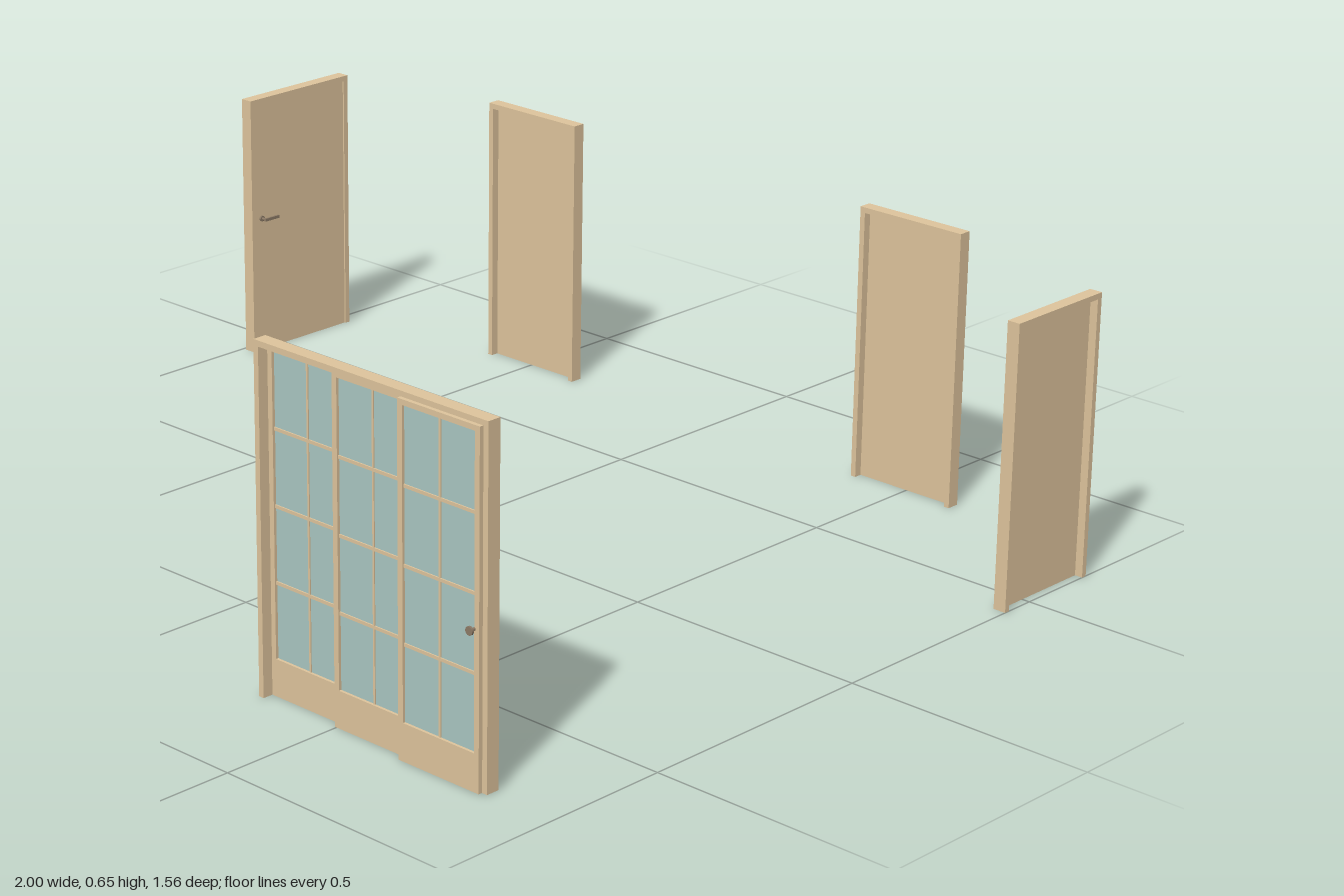
import * as THREE from 'three';

const wood = new THREE.MeshStandardMaterial({ color: 0xdec49c });
const glassMat = new THREE.MeshStandardMaterial({ color: 0xa9c6c1 });
const handleMat = new THREE.MeshStandardMaterial({ color: 0x8c7a66 });

// Box given by its low and high corners
function box(parent, name, [x0, y0, z0], [x1, y1, z1], mat = wood) {
  const mesh = new THREE.Mesh(new THREE.BoxGeometry(x1 - x0, y1 - y0, z1 - z0), mat);
  mesh.position.set((x0 + x1) / 2, (y0 + y1) / 2, (z0 + z1) / 2);
  mesh.name = name;
  parent.add(mesh);
  return mesh;
}

// Cylinder lying along z
function rod(parent, name, r, x, y, z0, z1) {
  const mesh = new THREE.Mesh(new THREE.CylinderGeometry(r, r, z1 - z0, 16).rotateX(Math.PI / 2), handleMat);
  mesh.position.set(x, y, (z0 + z1) / 2);
  mesh.name = name;
  parent.add(mesh);
}

// Two posts and a head, open at the floor
function frame(parent, w, h, d, t) {
  for (const s of [-1, 1]) {
    const a = s * w / 2, b = s * (w / 2 - t);
    box(parent, 'framePost', [Math.min(a, b), 0, -d / 2], [Math.max(a, b), h, d / 2]);
  }
  box(parent, 'frameHead', [-w / 2 + t, h - t, -d / 2], [w / 2 - t, h, d / 2]);
}

// Framed slab door, its recessed side facing local +z
function slabDoor(name, w, slabBack, slabFront) {
  const door = new THREE.Group();
  door.name = name;
  const h = 0.55, t = 0.011;
  frame(door, w, h, 0.026, t);
  box(door, 'doorSlab', [-w / 2 + t, 0, slabBack], [w / 2 - t, h - t, slabFront]);
  return door;
}

// One sliding leaf: stiles, rails, glass and glazing bars
function slidingLeaf(x0, x1, z0, z1) {
  const leaf = new THREE.Group();
  leaf.name = 'slidingLeaf';
  const s = 0.011, bottom = 0.07, top = 0.63, zm = (z0 + z1) / 2;
  box(leaf, 'leftStile', [x0, 0, z0], [x0 + s, 0.64, z1]);
  box(leaf, 'rightStile', [x1 - s, 0, z0], [x1, 0.64, z1]);
  box(leaf, 'bottomRail', [x0 + s, 0, z0], [x1 - s, bottom, z1]);
  box(leaf, 'topRail', [x0 + s, top, z0], [x1 - s, 0.64, z1]);
  box(leaf, 'glass', [x0 + s, bottom, zm - 0.0015], [x1 - s, top, zm + 0.0015], glassMat);
  for (let i = 1; i < 4; i++) {
    const y = bottom + i * (top - bottom) / 4;
    box(leaf, 'glazingBar', [x0 + s, y - 0.003, zm - 0.004], [x1 - s, y + 0.003, zm + 0.004]);
  }
  const xm = (x0 + x1) / 2;
  box(leaf, 'uprightBar', [xm - 0.002, bottom, zm - 0.0035], [xm + 0.002, top, zm + 0.0035]);
  return leaf;
}

export function createModel() {
  const model = new THREE.Group();
  model.name = 'doorSet';

  // Pair of back doors
  for (const [name, x] of [['backRightDoor', -0.491], ['backLeftDoor', 0.495]]) {
    const door = slabDoor(name, 0.241, -0.013, -0.003);
    door.position.set(x, 0, -0.766);
    model.add(door);
  }

  // Side door on the left
  const leftDoor = slabDoor('leftSideDoor', 0.24, -0.013, -0.003);
  leftDoor.rotation.y = Math.PI / 2;
  leftDoor.position.set(0.987, 0, -0.549);
  model.add(leftDoor);

  // Wider side door on the right, with a lever handle
  const rightDoor = slabDoor('rightSideDoor', 0.277, -0.01, 0.006);
  rightDoor.rotation.y = -Math.PI / 2;
  rightDoor.position.set(-0.979, 0, -0.55);
  const hx = 0.11, hy = 0.29;
  rod(rightDoor, 'handleSpindle', 0.003, hx, hy, -0.026, 0.021);
  rod(rightDoor, 'handleRose', 0.006, hx, hy, 0.006, 0.009);
  rod(rightDoor, 'handleRose', 0.006, hx, hy, -0.014, -0.01);
  box(rightDoor, 'lever', [hx - 0.035, hy - 0.003, -0.027], [hx + 0.003, hy + 0.003, -0.023], handleMat);
  rod(rightDoor, 'outerKnob', 0.005, hx, hy, 0.017, 0.021);
  model.add(rightDoor);

  // Glazed sliding door with three staggered leaves
  const slider = new THREE.Group();
  slider.name = 'slidingDoor';
  const sliderFrame = new THREE.Group();
  sliderFrame.name = 'slidingDoorFrame';
  frame(sliderFrame, 0.545, 0.65, 0.027, 0.011);
  sliderFrame.position.set(0.588, 0, 0.745);
  slider.add(sliderFrame);
  [[0.326, 0.51], [0.496, 0.68], [0.663, 0.849]].forEach(([x0, x1], i) => {
    const z = 0.724 + i * 0.0142;
    slider.add(slidingLeaf(x0, x1, z, z + 0.0138));
  });
  rod(slider, 'knobStem', 0.003, 0.838, 0.29, 0.739, 0.777);
  rod(slider, 'frontKnob', 0.008, 0.838, 0.29, 0.775, 0.779);
  rod(slider, 'rearKnob', 0.008, 0.838, 0.29, 0.736, 0.74);
  model.add(slider);

  return model;
}
